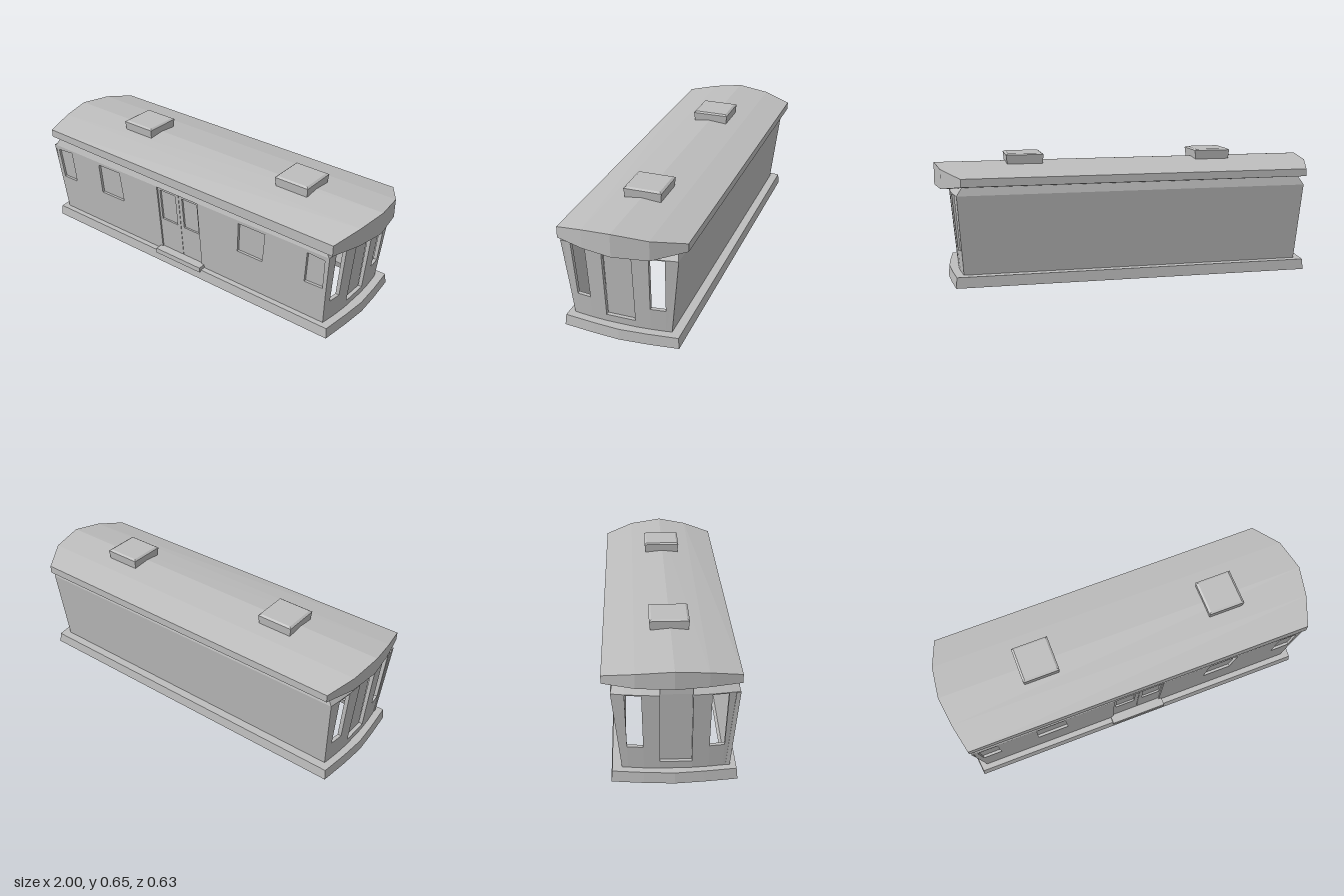
import * as THREE from 'three';

const grey = new THREE.MeshStandardMaterial({ color: 0xbdbdbd, flatShading: true, side: THREE.DoubleSide });
grey.name = 'plain grey';

// Skin a list of equal-length rings; either capped at both ends or joined in a loop
function loft(rings, looped = false) {
  const pos = [], n = rings[0].length, m = rings.length;
  const tri = (a, b, c) => pos.push(...a, ...b, ...c);
  for (let i = 0; i < (looped ? m : m - 1); i++) {
    const A = rings[i], B = rings[(i + 1) % m];
    for (let j = 0; j < n; j++) {
      const k = (j + 1) % n;
      tri(A[j], B[k], A[k]);
      tri(A[j], B[j], B[k]);
    }
  }
  if (!looped) {
    for (let j = 1; j < n - 1; j++) {
      tri(rings[0][0], rings[0][j], rings[0][j + 1]);
      tri(rings[m - 1][0], rings[m - 1][j + 1], rings[m - 1][j]);
    }
  }
  // Turn the faces outward if the signed volume is negative
  let vol = 0;
  const a = new THREE.Vector3(), b = new THREE.Vector3(), c = new THREE.Vector3();
  for (let i = 0; i < pos.length; i += 9) {
    a.fromArray(pos, i); b.fromArray(pos, i + 3); c.fromArray(pos, i + 6);
    vol += a.dot(b.cross(c));
  }
  if (vol < 0) {
    for (let i = 0; i < pos.length; i += 9) {
      for (let k = 0; k < 3; k++) [pos[i + 3 + k], pos[i + 6 + k]] = [pos[i + 6 + k], pos[i + 3 + k]];
    }
  }
  const g = new THREE.BufferGeometry();
  g.setAttribute('position', new THREE.Float32BufferAttribute(pos, 3));
  g.computeVertexNormals();
  return g;
}

// Body rules: side walls lean outward up to the eaves, then fold inward
const LOW = 0.055, EAVE = 0.465, TOP = 0.512;
const lean = (y, lo, hi) => lo + (hi - lo) * (Math.min(y, EAVE) - LOW) / (EAVE - LOW);
const fold = (y) => Math.max(0, y - EAVE);
const zFront = (y) => lean(y, 0.273, 0.309) - 0.25 * fold(y);
const zBack = (y) => lean(y, -0.23, -0.275) + 0.25 * fold(y);
const xEnd = (s, y, z) =>
  s * (lean(y, 0.892, 0.927) + (s < 0 ? 0.035 : 0) - 0.027 * ((z - 0.015) / 0.29) ** 2 - 0.7 * fold(y));

export function createModel() {
  const model = new THREE.Group();
  const add = (name, geo, parent = model) => {
    const mesh = new THREE.Mesh(geo, grey);
    mesh.name = name;
    parent.add(mesh);
    return mesh;
  };
  const group = (name) => {
    const g = new THREE.Group();
    g.name = name;
    model.add(g);
    return g;
  };

  // Open skirt around the foot, bowed at both ends
  const outline = [
    [-0.945, 0.308], [0.915, 0.308], [0.932, 0.15], [0.942, 0.015], [0.932, -0.13],
    [0.915, -0.28], [-0.945, -0.28], [-0.962, -0.13], [-0.972, 0.015], [-0.962, 0.15]];
  add('baseSkirt', loft(outline.map(([x, z]) => {
    const at = (d, y) => [x - Math.sign(x) * d, y, 0.014 + (z - 0.014) * (1 - d / 0.294)];
    return [at(0, 0), at(0.005, LOW), at(0.07, LOW), at(0.05, LOW - 0.015), at(0.035, 0)];
  }), true));

  // Front wall with window and door openings
  const windows = [
    [[-0.936, 0.44], [-0.807, 0.45], [-0.802, 0.265], [-0.914, 0.265]],
    [[-0.594, 0.447], [-0.438, 0.45], [-0.428, 0.27], [-0.594, 0.268]],
    [[0.374, 0.447], [0.535, 0.447], [0.513, 0.27], [0.358, 0.27]],
    [[0.78, 0.447], [0.895, 0.44], [0.877, 0.27], [0.762, 0.265]]];
  const rect = (x0, x1, y0, y1) => [[x0, y0], [x1, y0], [x1, y1], [x0, y1]];
  const asPoints = (pts) => pts.map(([x, y]) => new THREE.Vector2(x, y));
  // Flat sheet with holes, leaned to follow the front wall
  const frontSheet = (pts, holes, inset, depth) => {
    const shape = new THREE.Shape(asPoints(pts));
    holes.forEach((h) => shape.holes.push(new THREE.Path(asPoints(h))));
    const g = new THREE.ExtrudeGeometry(shape, { depth, bevelEnabled: false });
    const p = g.attributes.position;
    for (let i = 0; i < p.count; i++) p.setZ(i, p.getZ(i) - depth - inset + zFront(p.getY(i)));
    g.computeVertexNormals();
    return g;
  };
  const doorway = rect(-0.165, 0.11, 0.06, 0.462);
  const front = group('frontWall');
  add('frontWallPanel', frontSheet(
    [[-0.91, LOW], [0.868, LOW], [0.903, EAVE], [-0.943, EAVE]], [...windows, doorway], 0, 0.02), front);
  windows.forEach((w) => add('windowPane', frontSheet(w, [], 0.014, 0.006), front));

  // Double door with a pane in each leaf
  const door = group('sideDoor');
  [[-0.165, -0.023, -0.15, -0.045], [-0.021, 0.11, 0, 0.1]].forEach(([x0, x1, p0, p1]) => {
    const pane = rect(p0, p1, 0.262, 0.445);
    add('doorLeaf', frontSheet(rect(x0, x1, 0.06, 0.462), [pane], 0.008, 0.014), door);
    add('doorPane', frontSheet(pane, [], 0.018, 0.004), door);
  });
  add('doorStep', new THREE.BoxGeometry(0.305, 0.028, 0.05), door).position.set(-0.026, 0.06, 0.29);

  // Plain back wall, and the folded strip above both long walls
  const longStrip = (zRule, inward, y0, y1) => loft([y0, y1].map((y) => {
    const z = zRule(y), x0 = xEnd(-1, y, z), x1 = xEnd(1, y, z);
    return [[x0, y, z], [x1, y, z], [x1, y, z + inward], [x0, y, z + inward]];
  }));
  add('backWall', longStrip(zBack, 0.02, LOW, EAVE));
  add('backEave', longStrip(zBack, 0.02, EAVE, TOP));
  add('frontEave', longStrip(zFront, -0.02, EAVE, TOP));

  // Bowed end walls: columns between these edges, with two windows and a recessed door
  const edges = [
    zFront, (y) => 0.238 + 0.04 * y, (y) => 0.172 + 0.018 * y, () => 0.095,
    () => -0.053, (y) => -0.126 - 0.024 * y, (y) => -0.2 - 0.028 * y, zBack];
  for (const s of [1, -1]) {
    const end = group(s > 0 ? 'leftEnd' : 'rightEnd');
    const piece = (name, col, y0, y1, in0 = 0, in1 = 0, thick = 0.02) =>
      add(name, loft([[y0, in0], [y1, in1]].map(([y, inset]) => {
        const pt = (z, d) => [xEnd(s, y, z) - s * d, y, z];
        const a = edges[col](y), b = edges[col + 1](y);
        return [pt(a, inset), pt(b, inset), pt(b, inset + thick), pt(a, inset + thick)];
      })), end);
    for (let col = 0; col < 7; col++) {
      if (col === 3) {
        piece('endDoorSill', col, LOW, 0.093);
        piece('endDoor', col, 0.08, 0.47, 0.02, 0.02, 0.012);
        piece('endDoorLintel', col, 0.46, TOP, 0.02, -0.012);
      } else {
        if (col === 1 || col === 5) {
          piece('endWallBelowWindow', col, LOW, 0.175);
          piece('endWallAboveWindow', col, 0.46, EAVE);
        } else {
          piece('endPillar', col, LOW, EAVE);
        }
        piece('endEave', col, EAVE, TOP);
      }
    }
  }

  // Roof sections from front to back: z, left x, right x, upper and lower heights at each end
  const roof = [
    [0.315, -0.948, 0.92, 0.558, 0.545, 0.516, 0.488],
    [0.165, -0.98, 0.972, 0.587, 0.584, 0.516, 0.488],
    [0.01, -1, 1, 0.605, 0.605, 0.516, 0.488],
    [-0.165, -0.982, 0.972, 0.587, 0.587, 0.516, 0.488],
    [-0.315, -0.93, 0.88, 0.555, 0.555, 0.516, 0.514]];
  add('roof', loft(roof.map(([z, x0, x1, t0, t1, b0, b1]) =>
    [[x0, b0, z], [x0, t0, z], [x1, t1, z], [x1, b1, z]])));

  // Flared roof vents with a chamfered lid
  for (const x of [-0.478, 0.538]) {
    add('roofVent', loft([[0.575, 0.09], [0.642, 0.097], [0.649, 0.086]].map(([y, r]) =>
      [[-1, -1], [1, -1], [1, 1], [-1, 1]].map(([i, k]) => [x + i * r, y, 0.005 + k * r]))));
  }
  return model;
}
